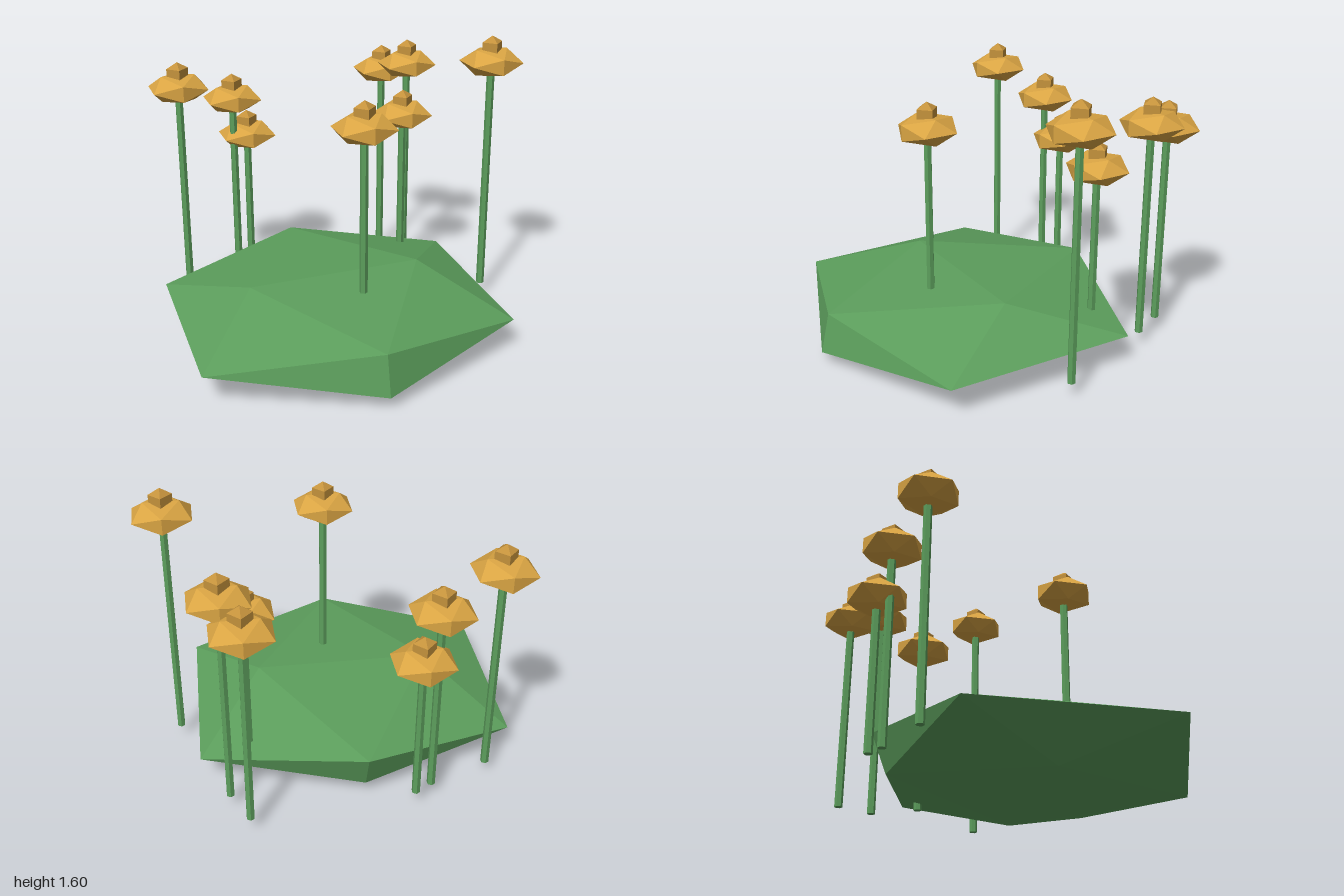
import * as THREE from 'three';
import { ConvexGeometry } from 'three/addons/geometries/ConvexGeometry.js';

const makeMaterial = (name, color) => {
  const m = new THREE.MeshStandardMaterial({ color, flatShading: true });
  m.name = name;
  return m;
};

export function createModel() {
  const green = makeMaterial('leaf green', 0x5c9e5c);
  const gold = makeMaterial('petal gold', 0xd9a443);
  const darkGold = makeMaterial('flower centre gold', 0xc4923c);

  const model = new THREE.Group();
  model.name = 'flowerClump';

  const addMesh = (parent, name, geometry, material, y = 0) => {
    const mesh = new THREE.Mesh(geometry, material);
    mesh.name = name;
    mesh.position.y = y;
    parent.add(mesh);
    return mesh;
  };

  // Low faceted mound: a flattened, slightly uneven icosahedron
  const moundPoints = [
    [-0.61, 0.35, 0.11], [0.37, 0.36, 0.11],
    [-0.65, 0, 0.11], [0.37, 0, 0.11],
    [-0.13, 0.29, 0.92], [-0.13, 0.07, 0.97],
    [-0.13, 0.29, -0.72], [-0.13, 0.075, -0.64],
    [-1, 0.18, 0.64], [-0.98, 0.18, -0.42],
    [0.72, 0.18, 0.64], [0.745, 0.18, -0.44],
  ].map((p) => new THREE.Vector3(...p));
  addMesh(model, 'mound', new ConvexGeometry(moundPoints), green);

  // Shared flower shapes
  const bloomShape = new THREE.IcosahedronGeometry(0.178, 0).scale(1, 0.47, 1);
  const centreShape = new THREE.SphereGeometry(0.07, 4, 3);
  const stemBottom = 0.085;

  // Each flower: x, height of the bloom, z
  const flowers = [
    [-0.81, 1.305, -0.57], [-0.475, 1.175, -0.70], [-0.38, 0.93, -0.755], [-0.04, 1.265, 0.34],
    [0.84, 1.45, 0], [0.51, 1.235, -0.825], [0.60, 1.305, -0.635], [0.475, 1.07, -0.39],
  ];
  for (const [x, y, z] of flowers) {
    const flower = new THREE.Group();
    flower.name = 'flower';
    flower.position.set(x, 0, z);
    const length = y - stemBottom;
    addMesh(flower, 'stem', new THREE.CylinderGeometry(0.022, 0.023, length, 6), green, stemBottom + length / 2);
    addMesh(flower, 'bloom', bloomShape, gold, y);
    addMesh(flower, 'flowerCentre', centreShape, darkGold, y + 0.078);
    model.add(flower);
  }
  return model;
}
